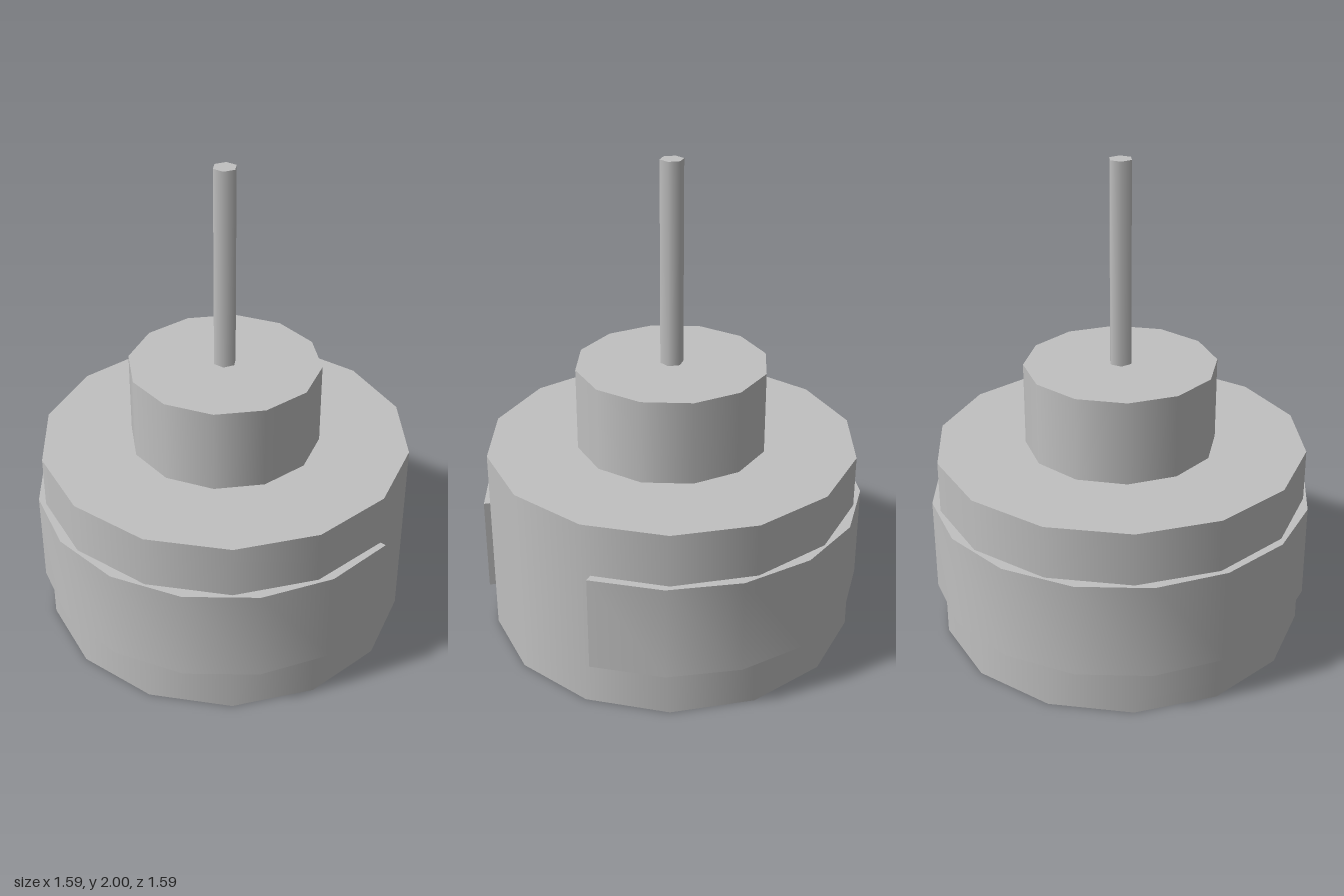
import * as THREE from 'three';
import { toCreasedNormals } from 'three/addons/utils/BufferGeometryUtils.js';

export function createModel() {
  const model = new THREE.Group();
  const grey = new THREE.MeshStandardMaterial({ color: 0xc0c0c0 });
  grey.name = 'grey metal';

  const add = (name, geometry) => {
    const mesh = new THREE.Mesh(geometry, grey);
    mesh.name = name;
    mesh.position.set(-0.003, 0, -0.005);
    model.add(mesh);
  };

  // Upright drum with one corner on the x axis
  const drum = (radius, y0, y1, sides) =>
    new THREE.CylinderGeometry(radius, radius, y1 - y0, sides, 1, false, Math.PI / 2)
      .translate(0, (y0 + y1) / 2, 0);

  add('body', drum(0.772, 0, 0.81, 14));
  add('collar', drum(0.397, 0.81, 1.16, 12));
  add('shaft', drum(0.048, 1.16, 2, 6));

  // Wrap-around band, open at the back left
  const segments = 14;
  const sweep = THREE.MathUtils.degToRad(306);
  const arc = (radius) => Array.from({ length: segments + 1 }, (_, i) => {
    const a = (i / segments) * sweep;
    return new THREE.Vector2(Math.cos(a) * radius, Math.sin(a) * radius);
  });
  const outline = new THREE.Shape([...arc(0.798), ...arc(0.75).reverse()]);
  const band = new THREE.ExtrudeGeometry(outline, { depth: 0.4, bevelEnabled: false })
    .rotateX(Math.PI / 2)
    .translate(0, 0.59, 0);
  add('band', toCreasedNormals(band, 0.7));

  return model;
}
